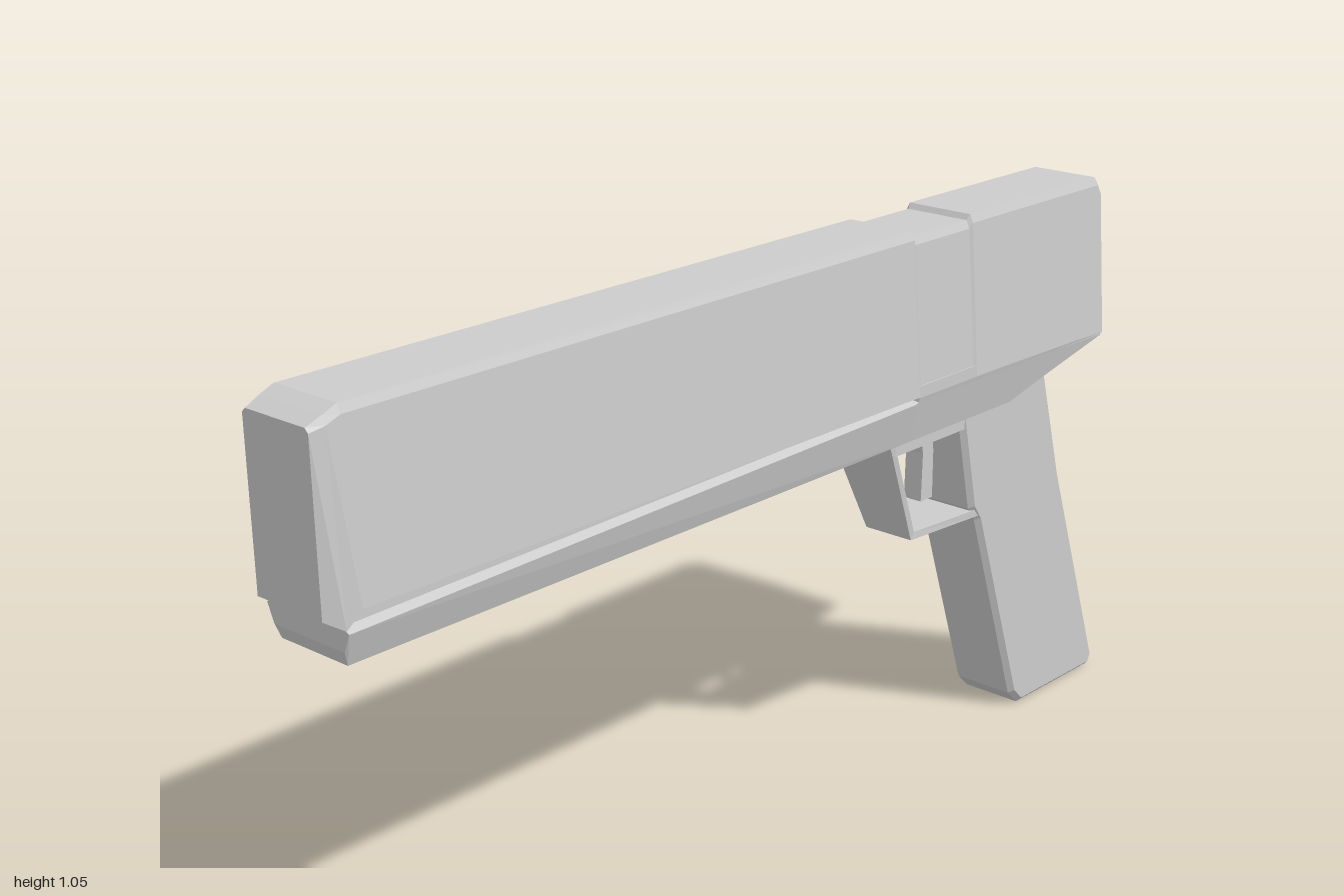
import * as THREE from 'three';

const material = new THREE.MeshStandardMaterial({ color: 0xcccccc, flatShading: true });

function add(group, name, geometry) {
  const mesh = new THREE.Mesh(geometry, material);
  mesh.name = name;
  group.add(mesh);
}

// Skin a list of closed rings of [x, y, z] points and cap both ends.
function loft(rings) {
  const n = rings[0].length, index = [];
  for (let i = 0; i < rings.length - 1; i++) {
    for (let j = 0; j < n; j++) {
      const a = i * n + j, b = i * n + (j + 1) % n;
      index.push(a, a + n, b, b, a + n, b + n);
    }
  }
  const last = (rings.length - 1) * n;
  for (let j = 1; j < n - 1; j++) {
    index.push(0, j, j + 1, last, last + j + 1, last + j);
  }
  const geometry = new THREE.BufferGeometry();
  geometry.setAttribute('position', new THREE.Float32BufferAttribute(rings.flat(2), 3));
  geometry.setIndex(index);
  const flat = geometry.toNonIndexed();
  flat.computeVertexNormals();
  return flat;
}

// Mirror a half section, listed from bottom to top, into a full ring at z.
const ring = (z, half) => [
  ...half.map(([x, y]) => [x, y, z]),
  ...[...half].reverse().map(([x, y]) => [-x, y, z]),
];

// Extrude a side profile of [z, y] points across x, with a chamfered outline.
function sideExtrude(points, halfWidth, bevel) {
  const shape = new THREE.Shape(points.map(([z, y]) => new THREE.Vector2(-z, y)));
  const geometry = new THREE.ExtrudeGeometry(shape, {
    depth: 2 * (halfWidth - bevel), bevelEnabled: bevel > 0, bevelSegments: 1,
    bevelSize: bevel, bevelThickness: bevel, bevelOffset: -bevel,
  });
  geometry.translate(0, 0, bevel - halfWidth);
  return geometry.rotateY(Math.PI / 2);
}

export function createModel() {
  const group = new THREE.Group();

  // Upper slide: tapered section, chamfered ends and a shallow notch
  const section = (z, top, bottom, inset = 0) => ring(z, [
    [0.097 - inset, bottom], [0.076 - inset, top - 0.015], [0.069 - inset, top],
  ]);
  add(group, 'slide', loft([
    ring(1, [[0.073, 0.745], [0.073, 1.025], [0.066, 1.032]]),
    ring(0.972, [[0.091, 0.727], [0.076, 1.03], [0.069, 1.044]]),
    section(0.945, 1.055, 0.755),
    section(-0.34, 1.055, 0.755),
    section(-0.347, 1.045, 0.755, 0.003),
    section(-0.505, 1.045, 0.755, 0.003),
    section(-0.512, 1.055, 0.755),
    section(-0.913, 1.055, 0.75),
    section(-0.932, 1.035, 0.745, 0.003),
  ]));

  // Lower frame: recessed neck under the slide, sloping up to the rear tang
  const frame = (z, bottom, shoulder, neck, low = 0.075) => ring(z, [
    [low, bottom], [0.093, shoulder], [neck, shoulder + 0.008], [neck, 0.775],
  ]);
  add(group, 'frame', loft([
    frame(0.97, 0.69, 0.722, 0.078, 0.08),
    frame(0.962, 0.666, 0.722, 0.078),
    frame(-0.335, 0.666, 0.742, 0.078),
    frame(-0.342, 0.666, 0.745, 0.095),
    frame(-0.65, 0.666, 0.745, 0.095),
    frame(-0.77, 0.7, 0.745, 0.095, 0.083),
    frame(-0.928, 0.742, 0.745, 0.093, 0.093),
  ]));

  // Raked grip with chamfered edges
  add(group, 'grip', sideExtrude([
    [-0.5, 0.72], [-0.508, 0.655], [-0.547, 0.475], [-0.568, 0.445], [-0.708, 0.03],
    [-0.738, 0], [-0.988, 0], [-1, 0.025], [-0.84, 0.475], [-0.77, 0.72],
  ], 0.072, 0.01));

  // Trigger guard: strap given as half width, then outer and inner [y, z]
  const guard = [
    [0.073, [0.68, -0.282], [0.68, -0.297]],
    [0.071, [0.655, -0.295], [0.652, -0.31]],
    [0.053, [0.456, -0.382], [0.47, -0.391]],
    [0.07, [0.456, -0.57], [0.47, -0.57]],
  ].map(([w, o, i]) => [[w, ...o], [w, ...i], [-w, ...i], [-w, ...o]]);
  add(group, 'triggerGuard', loft(guard));

  // Slab closing the top of the guard opening
  const roof = new THREE.BoxGeometry(0.142, 0.03, 0.21);
  roof.translate(0, 0.66, -0.41);
  add(group, 'guardRoof', roof);

  // Trigger
  add(group, 'trigger', sideExtrude([
    [-0.445, 0.66], [-0.456, 0.6], [-0.453, 0.505],
    [-0.488, 0.505], [-0.488, 0.6], [-0.478, 0.66],
  ], 0.02, 0));

  return group;
}
